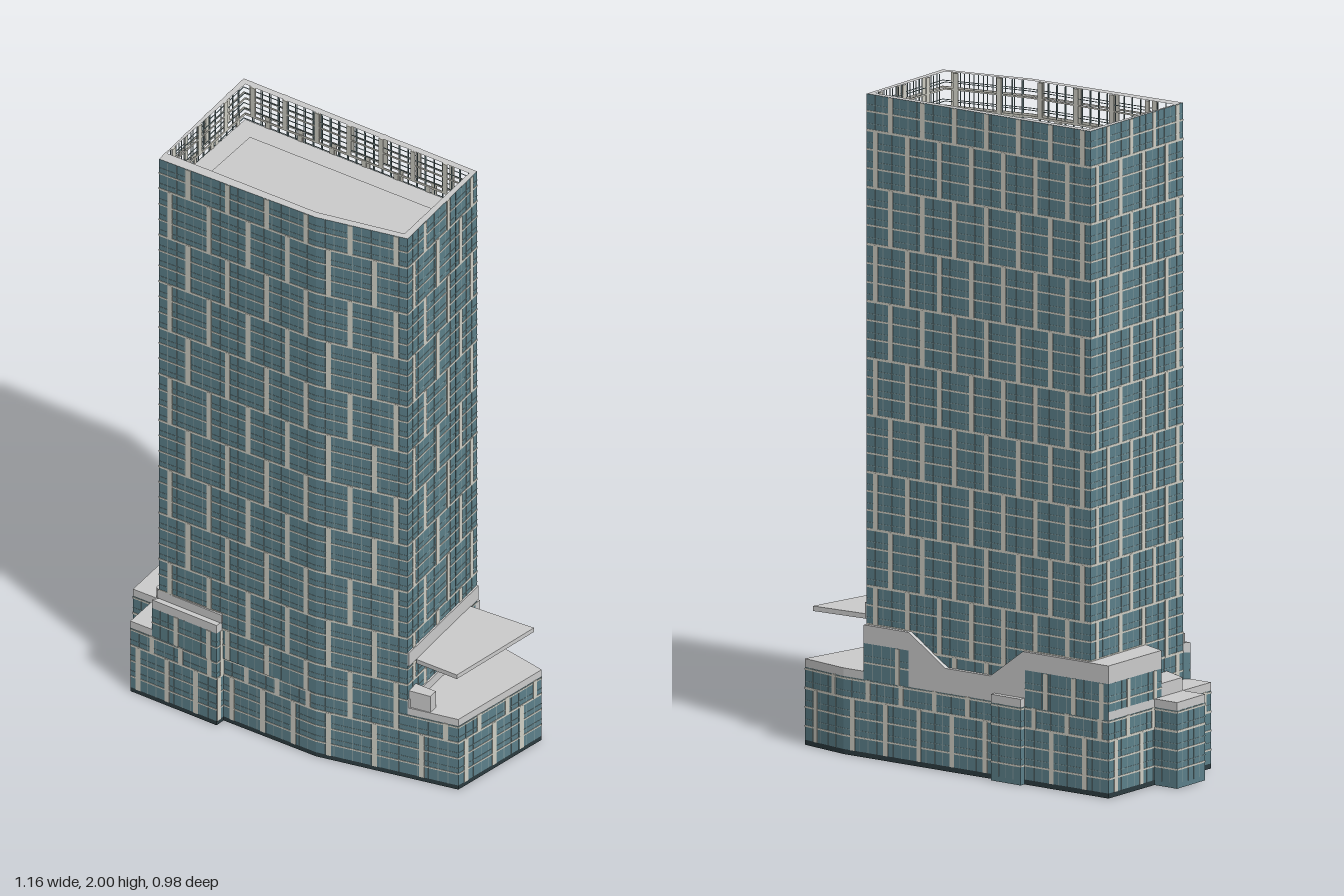
import * as THREE from 'three';
import { mergeGeometries } from 'three/addons/utils/BufferGeometryUtils.js';

const grey = new THREE.MeshStandardMaterial({ color: 0xcccccc });
const glass = new THREE.MeshStandardMaterial({ color: 0x5c808a });
const trim = new THREE.MeshStandardMaterial({ color: 0xcfcec4 });
const mullionMat = new THREE.MeshStandardMaterial({ color: 0x7f989c });
const dark = new THREE.MeshStandardMaterial({ color: 0x2c3b40 });

const FLOOR = 0.0573;

// Plan outlines as [x, z]
const towerPlan = [[-0.193, -0.43], [0.413, 0.12], [0.16, 0.408], [-0.09, 0.263], [-0.5, -0.087]];
const parapetPlan = [[-0.193, -0.402], [0.388, 0.125], [0.155, 0.382], [-0.085, 0.238], [-0.472, -0.11]];
const pitPlan = [[-0.193, -0.313], [0.298, 0.128], [0.143, 0.302], [-0.04, 0.2], [-0.382, -0.115]];
const podiumPlan = [[-0.24, -0.49], [0.478, 0.16], [0.578, 0.29], [0.298, 0.488], [0.16, 0.408],
  [-0.09, 0.263], [-0.33, 0.05], [-0.354, 0.07], [-0.578, -0.133]];
const terracePlan = [[0.415, 0.103], [0.478, 0.16], [0.578, 0.29], [0.298, 0.488], [0.16, 0.408], [0.4, 0.12]];
const westPlan = [[-0.24, -0.49], [-0.193, -0.43], [-0.5, -0.087], [-0.522, -0.083], [-0.578, -0.133]];
const northPlan = [[-0.24, -0.49], [-0.193, -0.43], [-0.375, -0.225], [-0.415, -0.305]];
const middlePlan = [[-0.415, -0.305], [-0.375, -0.225], [-0.447, -0.146], [-0.485, -0.231]];
const westBayPlan = [[-0.453, -0.385], [-0.39, -0.328], [-0.483, -0.228], [-0.546, -0.283]];
const eastBayPlan = [[0, -0.297], [0.08, -0.222], [0.06, -0.2], [-0.02, -0.275]];
const sideStripPlan = [[-0.522, -0.083], [-0.5, -0.087], [-0.33, 0.05], [-0.354, 0.07]];
const canopyPlan = [[0.385, 0.155], [0.555, 0.29], [0.295, 0.478], [0.19, 0.385]];

const planVectors = pts => pts.map(([x, z]) => new THREE.Vector2(x, -z));

// Upright prism over a plan outline, with an optional hole
function prism(group, name, plan, y0, y1, side, hole) {
  const shape = new THREE.Shape(planVectors(plan));
  if (hole) shape.holes.push(new THREE.Path(planVectors(hole)));
  const geo = new THREE.ExtrudeGeometry(shape, { depth: y1 - y0, bevelEnabled: false });
  geo.rotateX(-Math.PI / 2).translate(0, y0, 0);
  const mesh = new THREE.Mesh(geo, [grey, side]);
  mesh.name = name;
  group.add(mesh);
}

// Floor lines, fine mullions and staggered wide panels on straight walls
function facade(group, name, plan, y0, y1, skip = [], panels = true) {
  const bands = [], fins = [];
  plan.forEach(([ax, az], i) => {
    if (skip.includes(i)) return;
    const [bx, bz] = plan[(i + 1) % plan.length];
    const len = Math.hypot(bx - ax, bz - az);
    const angle = -Math.atan2(bz - az, bx - ax);
    const add = (list, s, y, w, h, t) => list.push(new THREE.BoxGeometry(w, h, t)
      .translate(s, y, 0).rotateY(angle).translate(ax, 0, az));

    for (let k = Math.ceil((y0 + 0.003) / FLOOR); k * FLOOR < y1 - 0.003; k++) {
      add(bands, len / 2, k * FLOOR, len, k % 3 === 0 ? 0.007 : 0.005, 0.003);
      add(fins, len / 2, (k + 0.35) * FLOOR < y1 ? (k + 0.35) * FLOOR : y1 - 0.002, len, 0.002, 0.002);
    }
    const count = Math.max(1, Math.round(len / 0.03));
    for (let j = 1; j < count; j++) {
      add(fins, j * len / count, (y0 + y1) / 2, 0.0025, y1 - y0, 0.002);
    }
    if (!panels) return;
    // Each three-floor block shifts its wide panels by half a bay
    const bays = Math.max(1, Math.round(len / 0.12));
    const bay = len / bays;
    for (let b = Math.floor(y0 / (3 * FLOOR)); b * 3 * FLOOR < y1; b++) {
      const lo = Math.max(y0, b * 3 * FLOOR), hi = Math.min(y1, (b + 1) * 3 * FLOOR);
      if (hi - lo < 0.01) continue;
      for (let j = 0; j < bays; j++) {
        const s = (j + (b % 2 ? 0.25 : 0.72)) * bay;
        add(bands, s, (lo + hi) / 2, 0.016, hi - lo, 0.004);
      }
    }
  });
  for (const [list, mat, label] of [[bands, trim, 'Panels'], [fins, mullionMat, 'Mullions']]) {
    if (!list.length) continue;
    const mesh = new THREE.Mesh(mergeGeometries(list), mat);
    mesh.name = name + label;
    group.add(mesh);
  }
}

// Wall along the long rear edge; profiles are [z, y] pairs measured along it
function rearWall(group) {
  const [a, b] = podiumPlan;
  const dx = b[0] - a[0], dz = b[1] - a[1], len = Math.hypot(dx, dz);
  const wall = new THREE.Group();
  wall.name = 'rearWall';
  wall.position.set(a[0], 0, a[1]);
  wall.rotation.y = -Math.atan2(dz, dx);
  const add = (name, profile, mat) => {
    const shape = new THREE.Shape(profile.map(([z, y]) => new THREE.Vector2((z - a[1]) / dz * len, y)));
    const mesh = new THREE.Mesh(new THREE.ExtrudeGeometry(shape, { depth: 0.022, bevelEnabled: false }), mat);
    mesh.name = name;
    wall.add(mesh);
  };
  add('slopedParapet', [[-0.49, 0.345], [-0.285, 0.345], [-0.285, 0.235], [0, 0.235], [0, 0.345], [0.11, 0.345],
    [0.11, 0.4], [0, 0.4], [-0.09, 0.31], [-0.2, 0.31], [-0.28, 0.4], [-0.49, 0.4]], grey);
  add('rearGlassNorth', [[-0.49, 0.235], [-0.285, 0.235], [-0.285, 0.345], [-0.49, 0.345]], glass);
  add('rearGlassEast', [[0, 0.235], [0.11, 0.235], [0.11, 0.345], [0, 0.345]], glass);
  group.add(wall);
  const at = z => [a[0] + (z - a[1]) / dz * dx, z];
  facade(group, 'rearNorth', [at(-0.49), at(-0.285)], 0.235, 0.345, [1]);
  facade(group, 'rearEast', [at(0), at(0.11)], 0.235, 0.345, [1]);
}

export function createModel() {
  const model = new THREE.Group();
  model.name = 'tower';

  // Tower shaft, hollow parapet and sunken roof
  prism(model, 'shaft', towerPlan, 0.235, 1.82, glass);
  prism(model, 'parapet', towerPlan, 1.82, 2, glass, parapetPlan);
  prism(model, 'roofDeck', parapetPlan, 1.82, 1.87, grey, pitPlan);
  facade(model, 'shaft', towerPlan, 0.235, 1.999);
  facade(model, 'parapetInner', parapetPlan, 1.87, 1.998);

  // Podium with a dark base line
  prism(model, 'podium', podiumPlan, 0.015, 0.235, glass);
  prism(model, 'base', podiumPlan, 0, 0.015, dark);
  facade(model, 'podium', podiumPlan, 0.015, 0.235);
  prism(model, 'terrace', terracePlan, 0.235, 0.26, grey);
  prism(model, 'westRoof', westPlan, 0.235, 0.26, grey);

  // Raised blocks at the west end
  prism(model, 'northBlock', northPlan, 0.26, 0.345, glass);
  prism(model, 'northBlockParapet', northPlan, 0.345, 0.4, grey);
  facade(model, 'northBlock', northPlan, 0.26, 0.345, [0, 1]);
  prism(model, 'middleBlock', middlePlan, 0.26, 0.3, grey);
  prism(model, 'sideStrip', sideStripPlan, 0.235, 0.34, glass);
  prism(model, 'sideStripParapet', sideStripPlan, 0.34, 0.37, grey);
  facade(model, 'sideStrip', sideStripPlan, 0.235, 0.34, [0, 1]);
  const ledge = sideStripPlan.map(([x, z], i) => (i === 0 || i === 3 ? [x + 0.016, z - 0.008] : [x, z]));
  prism(model, 'sideLedge', ledge, 0.37, 0.4, grey);

  // Projecting bays
  for (const [name, plan] of [['westBay', westBayPlan], ['eastBay', eastBayPlan]]) {
    prism(model, name, plan, 0, 0.235, glass);
    prism(model, name + 'Parapet', plan, 0.235, 0.26, grey);
    facade(model, name, plan, 0.015, 0.235, [], false);
  }
  rearWall(model);

  // Canopy and tower bands over the terrace
  prism(model, 'canopy', canopyPlan, 0.403, 0.418, grey);
  const end = [[0.413, 0.12], [0.417, 0.124], [0.164, 0.412], [0.16, 0.408]];
  prism(model, 'upperBand', end, 0.415, 0.465, grey);
  prism(model, 'lowerBand', end, 0.26, 0.29, grey);
  prism(model, 'terraceBox', [[0.19, 0.373], [0.242, 0.42], [0.222, 0.442], [0.165, 0.405]], 0.26, 0.32, grey);

  return model;
}
